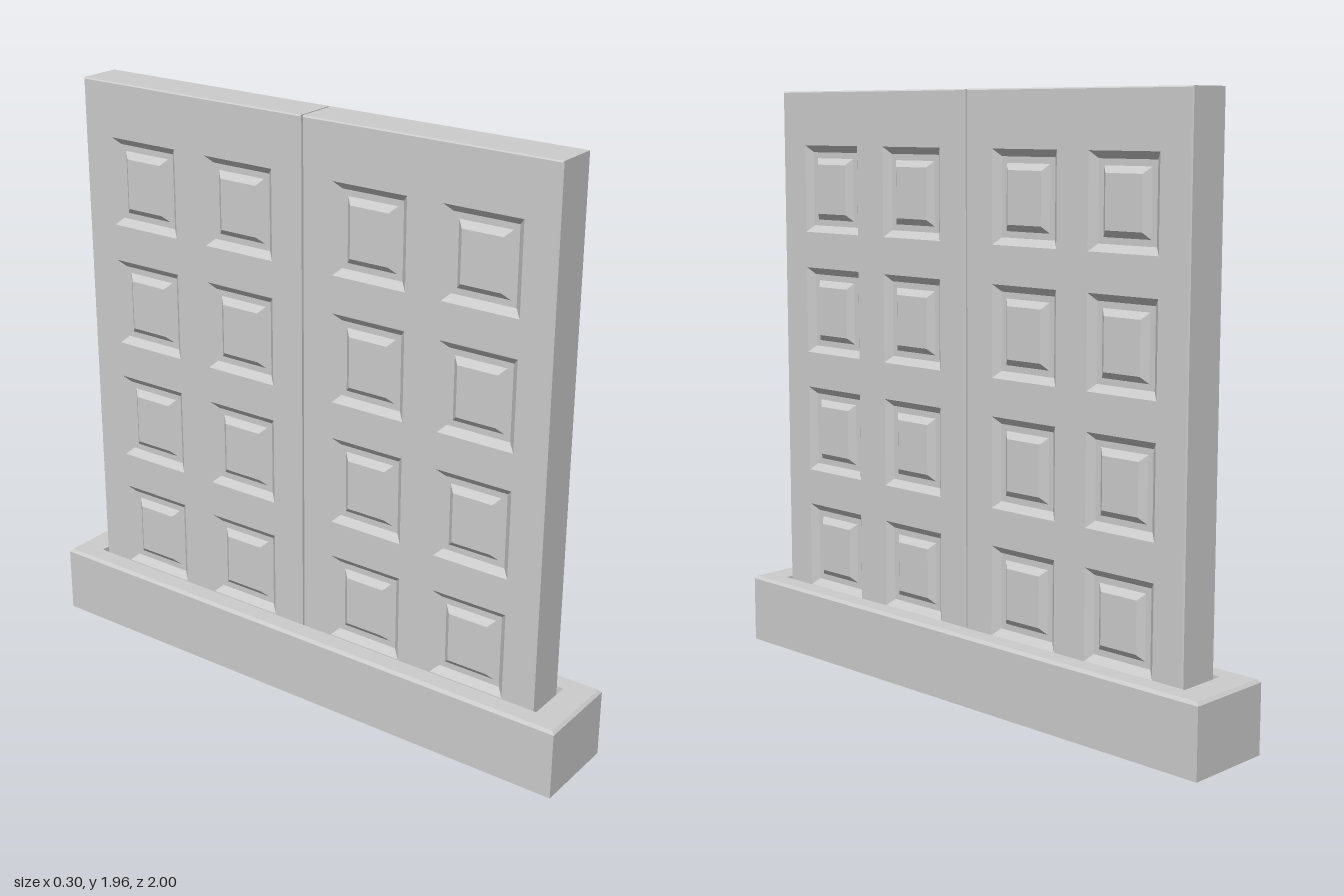
import * as THREE from 'three';

const material = new THREE.MeshStandardMaterial({ color: 0xcccccc, flatShading: true });

// Skin a run of rectangular rings [halfWidth, halfHeight, z]; optionally close the last ring.
function loft(rings, cap = false) {
  const corners = ([w, h, z]) => [[-w, -h, z], [w, -h, z], [w, h, z], [-w, h, z]];
  const pos = [];
  const quad = (a, b, c, d) => pos.push(...a, ...b, ...c, ...a, ...c, ...d);
  for (let i = 0; i < rings.length - 1; i++) {
    const a = corners(rings[i]), b = corners(rings[i + 1]);
    for (let j = 0; j < 4; j++) {
      const k = (j + 1) % 4;
      quad(a[j], a[k], b[k], b[j]);
    }
  }
  if (cap) quad(...corners(rings[rings.length - 1]));
  const geo = new THREE.BufferGeometry();
  geo.setAttribute('position', new THREE.Float32BufferAttribute(pos, 3));
  geo.computeVertexNormals();
  return geo;
}

function mesh(name, geometry) {
  const m = new THREE.Mesh(geometry, material);
  m.name = name;
  return m;
}

function rectangle(Type, w, h, x = 0, y = 0) {
  return new Type([[-w, -h], [w, -h], [w, h], [-w, h]].map(([a, b]) => new THREE.Vector2(x + a, y + b)));
}

const BOTTOM = 0.05, TOP = 1.955;
const HALF_W = 0.4405, HALF_H = (TOP - BOTTOM) / 2, HALF_T = 0.075, CHAMFER = 0.004;
const PANEL_W = 0.133, PANEL_H = 0.147;

// One door leaf, modelled facing +z
function createLeaf() {
  const leaf = new THREE.Group();
  const w = HALF_W - CHAMFER, h = HALF_H - CHAMFER, t = HALF_T - CHAMFER;
  leaf.add(mesh('leafEdges', loft([
    [w, h, -HALF_T], [HALF_W, HALF_H, -t], [HALF_W, HALF_H, t], [w, h, HALF_T],
  ])));

  // Face with openings for the coffers
  const shape = rectangle(THREE.Shape, w, h);
  const centres = [];
  for (const x of [-0.195, 0.195])
    for (let row = 0; row < 4; row++) centres.push([x, (row - 1.5) * 0.416]);
  for (const [x, y] of centres) shape.holes.push(rectangle(THREE.Path, PANEL_W, PANEL_H, x, y));
  const faceGeo = new THREE.ShapeGeometry(shape);

  // Sunk, bevelled coffer with a raised centre block
  const depth = -0.02;
  const panelGeo = loft([
    [PANEL_W, PANEL_H, 0], [PANEL_W - 0.023, PANEL_H - 0.023, depth],
    [0.09, 0.104, depth], [0.069, 0.083, -0.001],
  ], true);

  for (const [name, angle] of [['outerFace', 0], ['innerFace', Math.PI]]) {
    const side = new THREE.Group();
    side.name = name;
    const face = mesh('leafFace', faceGeo);
    face.position.z = HALF_T;
    side.add(face);
    for (const [x, y] of centres) {
      const panel = mesh('cofferPanel', panelGeo);
      panel.position.set(x, y, HALF_T);
      side.add(panel);
    }
    side.rotation.y = angle;
    leaf.add(side);
  }
  return leaf;
}

export function createModel() {
  const model = new THREE.Group();
  model.name = 'doubleDoor';

  // Pair of leaves meeting at the middle
  for (const s of [1, -1]) {
    const leaf = createLeaf();
    leaf.name = s > 0 ? 'frontLeaf' : 'rearLeaf';
    leaf.rotation.y = Math.PI / 2;
    leaf.position.set(0, (BOTTOM + TOP) / 2, s * 0.4435);
    model.add(leaf);
  }

  // Recessed strip closing the seam
  const seam = mesh('seamStrip', new THREE.BoxGeometry(0.12, TOP - BOTTOM - 0.03, 0.008));
  seam.position.y = (BOTTOM + TOP) / 2;
  model.add(seam);

  // Slotted threshold with chamfered top edge
  const base = loft([
    [0.084, 0.9, 0], [0.152, 1, 0], [0.152, 1, 0.225], [0.143, 0.991, 0.235],
    [0.084, 0.9, 0.235], [0.084, 0.9, 0],
  ]);
  base.rotateX(-Math.PI / 2);
  model.add(mesh('slottedBase', base));

  return model;
}
